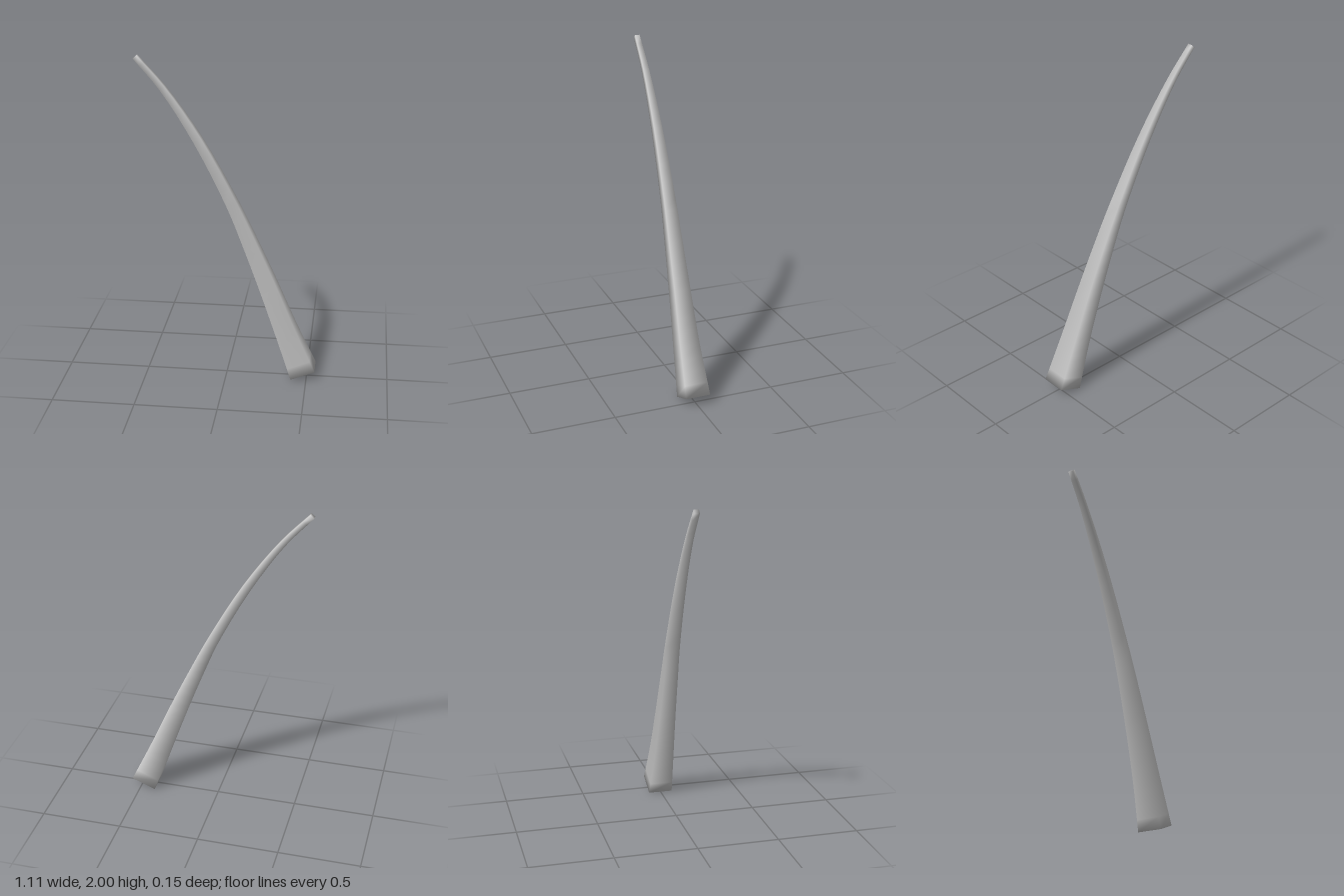
import * as THREE from 'three';

// Closed four-sided tube through a list of corner rings, welded for smooth shading
function skin(rings) {
  const position = rings.flat().flatMap(p => [p.x, p.y, p.z]);
  const index = [0, 2, 1, 0, 3, 2];
  for (let i = 0; i < rings.length - 1; i++) {
    for (let j = 0; j < 4; j++) {
      const a = i * 4 + j, b = i * 4 + (j + 1) % 4;
      index.push(a, b, b + 4, a, b + 4, a + 4);
    }
  }
  const e = (rings.length - 1) * 4;
  index.push(e, e + 1, e + 2, e, e + 2, e + 3);
  const geometry = new THREE.BufferGeometry();
  geometry.setAttribute('position', new THREE.Float32BufferAttribute(position, 3));
  geometry.setIndex(index);
  geometry.computeVertexNormals();
  return geometry;
}

export function createModel() {
  const group = new THREE.Group();
  group.name = 'curvedSpike';

  // Sections from base to tip: inner edge x, y, outer edge x, y, back z, front z
  const sections = [
    [0.405, 0, 0.552, 0.06, -0.077, 0.075],
    [0.31, 0.28, 0.425, 0.335, -0.061, 0.063],
    [0.2, 0.59, 0.292, 0.64, -0.053, 0.048],
    [0.1, 0.855, 0.172, 0.9, -0.05, 0.036],
    [0, 1.1, 0.057, 1.135, -0.049, 0.024],
    [-0.2, 1.49, -0.155, 1.515, -0.047, 0.006],
    [-0.4, 1.8, -0.37, 1.82, -0.045, -0.008],
    [-0.555, 1.98, -0.533, 2, -0.044, -0.014],
  ];

  // One smooth rail along each of the four corners
  const rail = (x, y, z) => new THREE.CatmullRomCurve3(
    sections.map(s => new THREE.Vector3(s[x], s[y], s[z])));
  const rails = [rail(0, 1, 4), rail(0, 1, 5), rail(2, 3, 5), rail(2, 3, 4)];

  const steps = 28;
  const rings = [];
  for (let i = 0; i <= steps; i++) rings.push(rails.map(r => r.getPoint(i / steps)));

  const spike = new THREE.Mesh(skin(rings), new THREE.MeshStandardMaterial({ color: 0xcccccc }));
  spike.name = 'spike';
  group.add(spike);
  return group;
}
